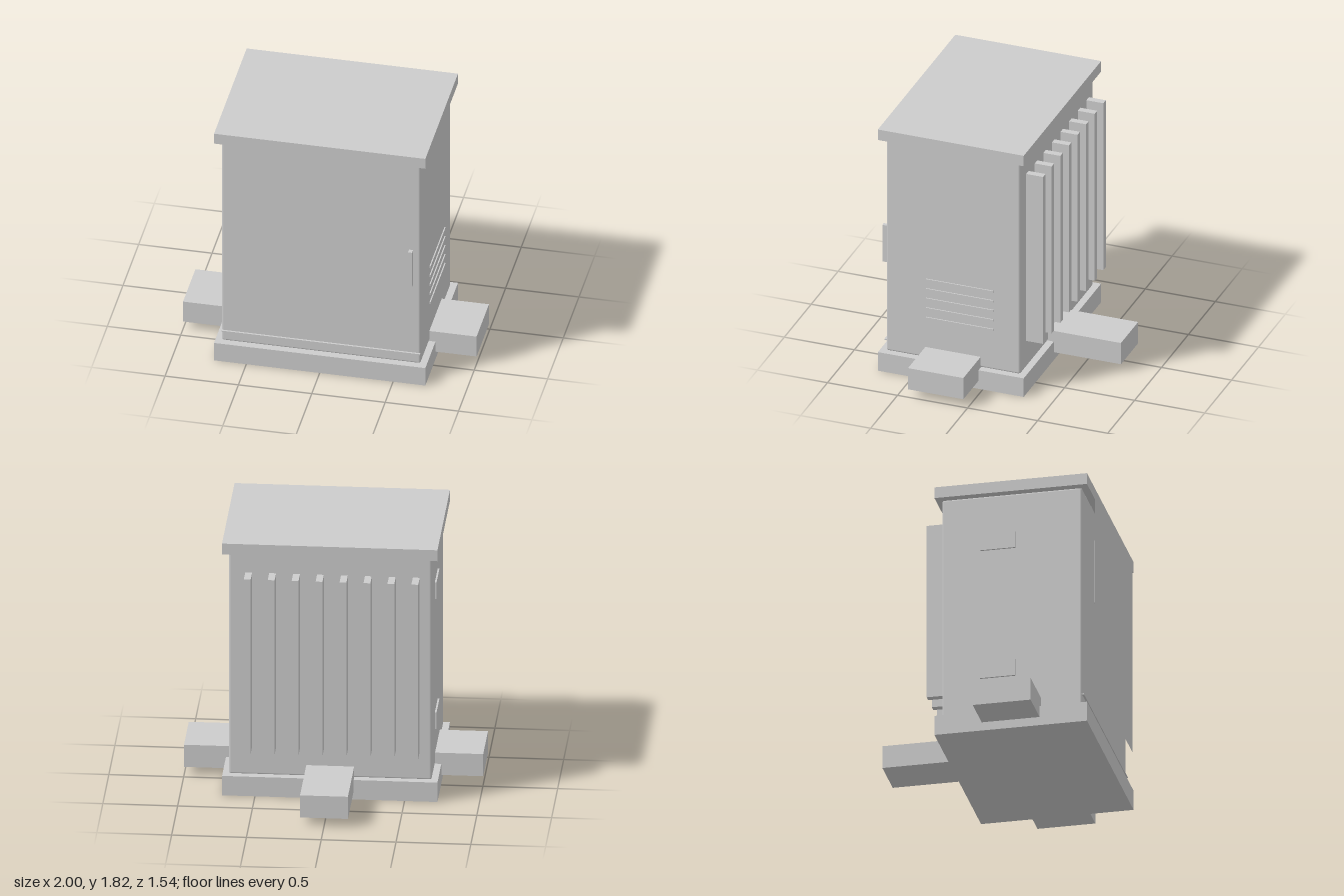
import * as THREE from 'three';
import { RoundedBoxGeometry } from 'three/addons/geometries/RoundedBoxGeometry.js';

export function createModel() {
  const group = new THREE.Group();
  const grey = new THREE.MeshStandardMaterial({ color: 0xcccccc });
  grey.name = 'cabinet grey';

  const add = (name, geometry, x, y, z) => {
    const mesh = new THREE.Mesh(geometry, grey);
    mesh.name = name;
    mesh.position.set(x, y, z);
    group.add(mesh);
  };
  // Box given by its lower and upper limits on each axis
  const box = (name, [x0, x1], [y0, y1], [z0, z1]) =>
    add(name, new THREE.BoxGeometry(x1 - x0, y1 - y0, z1 - z0),
      (x0 + x1) / 2, (y0 + y1) / 2, (z0 + z1) / 2);
  // Flat sheet facing the front
  const sheet = (name, [x0, x1], [y0, y1], z) =>
    add(name, new THREE.PlaneGeometry(x1 - x0, y1 - y0), (x0 + x1) / 2, (y0 + y1) / 2, z);

  // Plinth, housing with softened edges, overhanging roof
  box('plinth', [-0.72, 0.72], [0, 0.14], [-0.293, 0.748]);
  add('housing', new RoundedBoxGeometry(1.356, 1.6, 0.957, 1, 0.015), 0, 0.94, 0.2265);
  box('roof', [-0.72, 0.72], [1.741, 1.82], [-0.293, 0.748]);

  // Front sheet standing clear of the housing, with the panel behind it
  sheet('doorSheet', [-0.573, 0.57], [0.355, 1.70], 0.772);
  box('doorPanel', [-0.3, 0.3], [1.065, 1.52], [0.70, 0.75]);

  // Label, sill strip and handle
  sheet('label', [-0.55, -0.325], [0.283, 0.355], 0.72);
  box('sillStrip', [-0.677, 0.677], [0.217, 0.225], [0.70, 0.718]);
  box('handle', [0.602, 0.63], [0.78, 1.055], [0.717, 0.751]);

  // Vent slats on the left side
  for (let i = 0; i < 5; i++) {
    const y = 0.441 + i * 0.072;
    box('ventSlat', [0.67, 0.686], [y - 0.008, y + 0.008], [-0.06, 0.42]);
  }

  // Hinge plates on the right side
  for (const y of [0.46, 1.40]) {
    box('hingePlate', [-0.69, -0.67], [y - 0.06, y + 0.06], [0.01, 0.25]);
  }

  // Cooling fins on the back
  for (let i = 0; i < 8; i++) {
    const x = -0.575 + i * 0.16;
    box('coolingFin', [x - 0.023, x + 0.023], [0.34, 1.60], [-0.373, -0.24]);
  }

  // Cable ducts leaving both sides and the back
  box('leftDuct', [0.62, 1], [0.06, 0.22], [0.03, 0.425]);
  box('rightDuct', [-1, -0.62], [0.06, 0.22], [0.03, 0.425]);
  box('backDuct', [-0.16, 0.16], [0.06, 0.22], [-0.772, -0.2]);

  return group;
}
